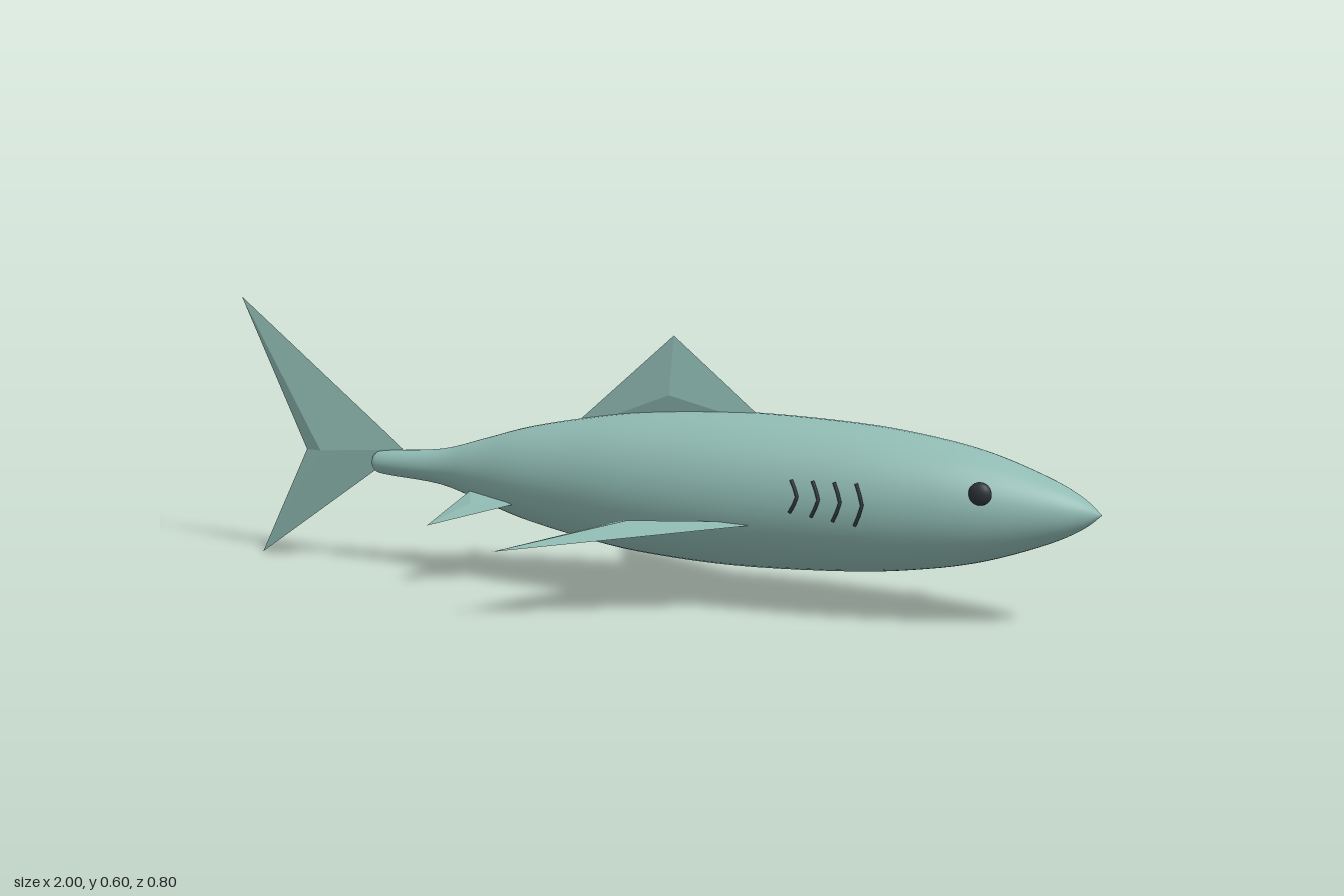
import * as THREE from 'three';

const skin = new THREE.MeshStandardMaterial({ color: 0x8fbab2 });
skin.name = 'sea green skin';
const dark = new THREE.MeshStandardMaterial({ color: 0x2c3437 });
dark.name = 'dark slate';

const AXIS_Y = 0.24; // height of the body axis

// Body radius along x, from tail stump to nose
const profile = new THREE.SplineCurve([
  [0, -0.65], [0.02, -0.642], [0.028, -0.61], [0.04, -0.47], [0.07, -0.36],
  [0.102, -0.25], [0.128, -0.12], [0.15, 0.03], [0.161, 0.25], [0.152, 0.5],
  [0.133, 0.66], [0.107, 0.78], [0.064, 0.9], [0.03, 0.965], [0, 1],
].map(([r, x]) => new THREE.Vector2(r, x))).getPoints(70);
profile.forEach((p) => { p.x = Math.max(p.x, 0); });

function radiusAt(x) {
  const i = profile.findIndex((p) => p.y >= x);
  const a = profile[i - 1], b = profile[i];
  return THREE.MathUtils.lerp(a.x, b.x, (x - a.y) / (b.y - a.y));
}

// Flat-faceted fin: an outline with a raised centre point on both faces
function fin(name, outline, centre, thickness) {
  const pts = outline.map((p) => new THREE.Vector3(...p));
  const c = new THREE.Vector3(...centre);
  const normal = new THREE.Vector3();
  pts.forEach((p, i) => {
    const q = pts[(i + 1) % pts.length];
    normal.add(p.clone().sub(c).cross(q.clone().sub(c)));
  });
  normal.normalize().multiplyScalar(thickness);
  const above = c.clone().add(normal), below = c.clone().sub(normal);
  const tris = [];
  pts.forEach((p, i) => {
    const q = pts[(i + 1) % pts.length];
    tris.push(p, q, above, q, p, below);
  });
  const geo = new THREE.BufferGeometry().setFromPoints(tris);
  geo.computeVertexNormals();
  const mesh = new THREE.Mesh(geo, skin);
  mesh.name = name;
  return mesh;
}

export function createModel() {
  const model = new THREE.Group();
  model.name = 'shark';

  // Smooth spindle body
  const bodyGeo = new THREE.LatheGeometry(profile, 48);
  bodyGeo.rotateZ(-Math.PI / 2);
  const body = new THREE.Mesh(bodyGeo, skin);
  body.name = 'body';
  body.position.y = AXIS_Y;
  model.add(body);

  // Upright fins
  model.add(fin('dorsalFin',
    [[-0.16, 0.335, 0], [0.32, 0.37, 0], [0.095, 0.555, 0]], [0.09, 0.43, 0], 0.014));
  model.add(fin('tailFin',
    [[-0.57, 0.272, 0], [-1, 0.605, 0], [-0.83, 0.257, 0], [-0.96, 0.005, 0]],
    [-0.785, 0.258, 0], 0.013));

  for (const s of [1, -1]) {
    const side = s > 0 ? 'right' : 'left';

    // Paired fins
    model.add(fin(side + 'PectoralFin',
      [[-0.125, 0.147, s * 0.4], [0.39, 0.2, s * 0.12], [0.02, 0.172, s * 0.11]],
      [0.08, 0.179, s * 0.2], 0.014));
    model.add(fin(side + 'PelvicFin',
      [[-0.41, 0.139, s * 0.172], [-0.22, 0.19, s * 0.07], [-0.37, 0.2, s * 0.05]],
      [-0.34, 0.176, s * 0.1], 0.008));

    // Eye
    const eye = new THREE.Mesh(new THREE.SphereGeometry(0.023, 16, 12), dark);
    eye.name = side + 'Eye';
    eye.scale.z = 0.65;
    eye.position.set(0.785, 0.283, s * 0.102);
    model.add(eye);

    // Chevron gill slits lying on the skin
    for (let i = 0; i < 4; i++) {
      const x = 0.415 + i * 0.044;
      const low = 0.227 - i * 0.006;
      const path = new THREE.CurvePath();
      const mid = (0.292 + low) / 2;
      const pts = [[x, 0.292], [x + 0.009, (0.292 + mid) / 2], [x + 0.015, mid],
        [x + 0.009, (low + mid) / 2], [x, low]].map(([px, py]) => {
        const r = radiusAt(px) + 0.001;
        return new THREE.Vector3(px, py, s * Math.sqrt(r * r - (py - AXIS_Y) ** 2));
      });
      for (let k = 1; k < pts.length; k++) path.add(new THREE.LineCurve3(pts[k - 1], pts[k]));
      const gill = new THREE.Mesh(new THREE.TubeGeometry(path, 12, 0.0035, 6), dark);
      gill.name = side + 'GillSlit' + (i + 1);
      model.add(gill);
    }
  }
  return model;
}
